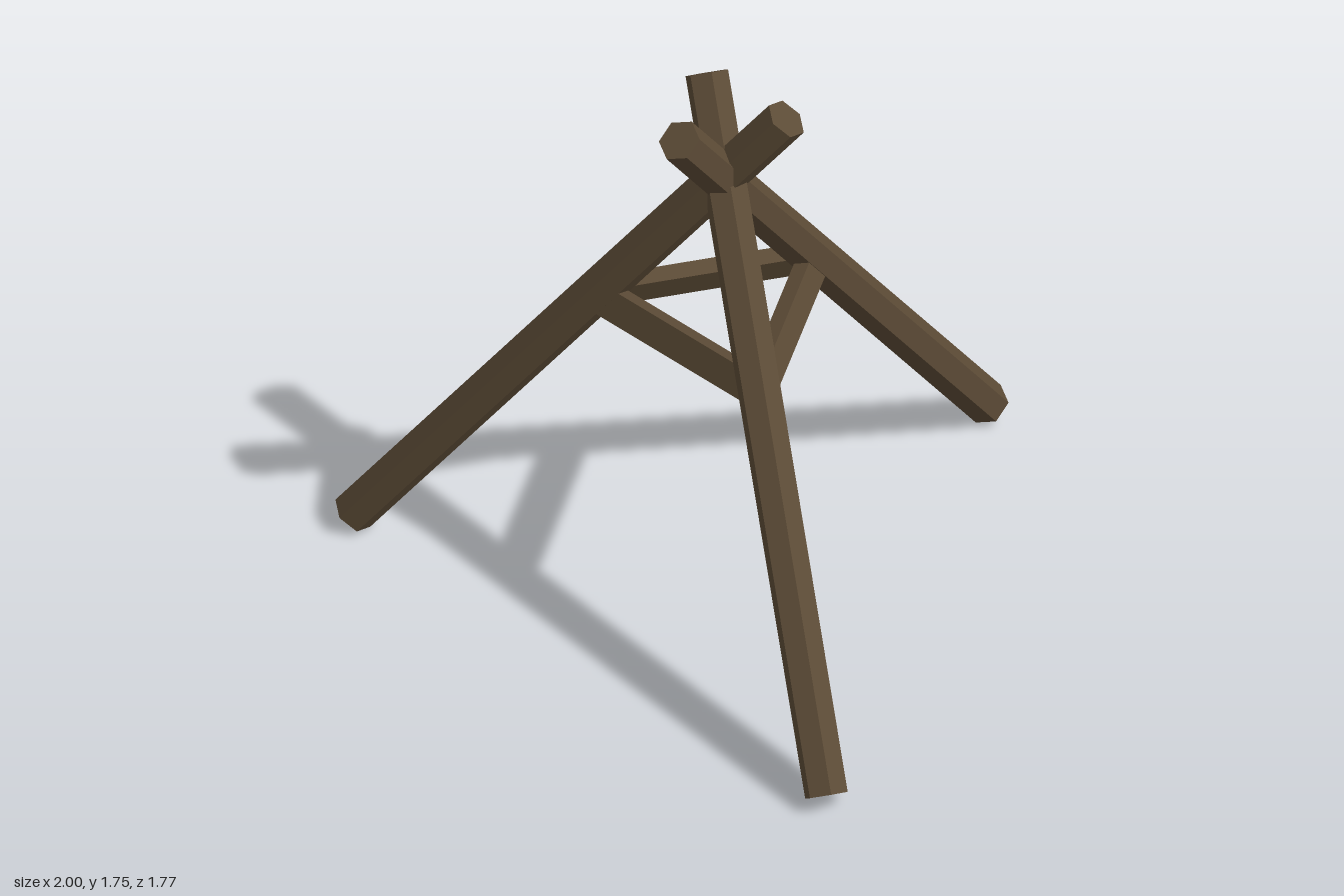
import * as THREE from 'three';

export function createModel() {
  const group = new THREE.Group();
  const wood = new THREE.MeshStandardMaterial({ color: 0x5c4b36, flatShading: true });
  wood.name = 'dark wood';
  const v = (x, y, z) => new THREE.Vector3(x, y, z);

  // Places a mesh at the middle of a-b using three basis axes
  const place = (name, geometry, a, b, x, y, z) => {
    const mesh = new THREE.Mesh(geometry, wood);
    mesh.name = name;
    mesh.quaternion.setFromRotationMatrix(new THREE.Matrix4().makeBasis(x, y, z));
    mesh.position.copy(a).lerp(b, 0.5);
    group.add(mesh);
  };

  // Three hexagonal poles crossing near the top: [name, foot, tip]
  const poles = [
    ['leftPole', v(0.95, 0.045, 0.79), v(-0.17, 1.715, 0.165)],
    ['rightPole', v(-0.95, 0.045, 0.825), v(0.145, 1.715, 0.155)],
    ['backPole', v(-0.03, 0.045, -0.835), v(0, 1.715, 0.445)],
  ];
  for (const [name, foot, tip] of poles) {
    const axis = tip.clone().sub(foot);
    const length = axis.length();
    axis.normalize();
    const side = axis.clone().cross(v(0, 1, 0)).normalize(); // level, so a ridge faces up
    const ridge = side.clone().cross(axis);
    place(name, new THREE.CylinderGeometry(0.065, 0.065, length, 6), foot, tip, side, axis, ridge);
  }

  // Three flat braces joining the poles, each leaning in the plane of its two poles
  const apex = v(0, 1.47, 0.26);
  const joints = poles.map(([, foot, tip]) => foot.clone().lerp(tip, (0.98 - foot.y) / (tip.y - foot.y)));
  const braces = [['frontBrace', 1, 0], ['leftBrace', 0, 2], ['rightBrace', 2, 1]];
  for (const [name, i, j] of braces) {
    const a = joints[i], b = joints[j];
    const along = b.clone().sub(a);
    const length = along.length();
    along.normalize();
    const out = along.clone().cross(apex.clone().sub(a)).normalize();
    const up = out.clone().cross(along);
    place(name, new THREE.BoxGeometry(length, 0.093, 0.05), a, b, along, up, out);
  }
  return group;
}
